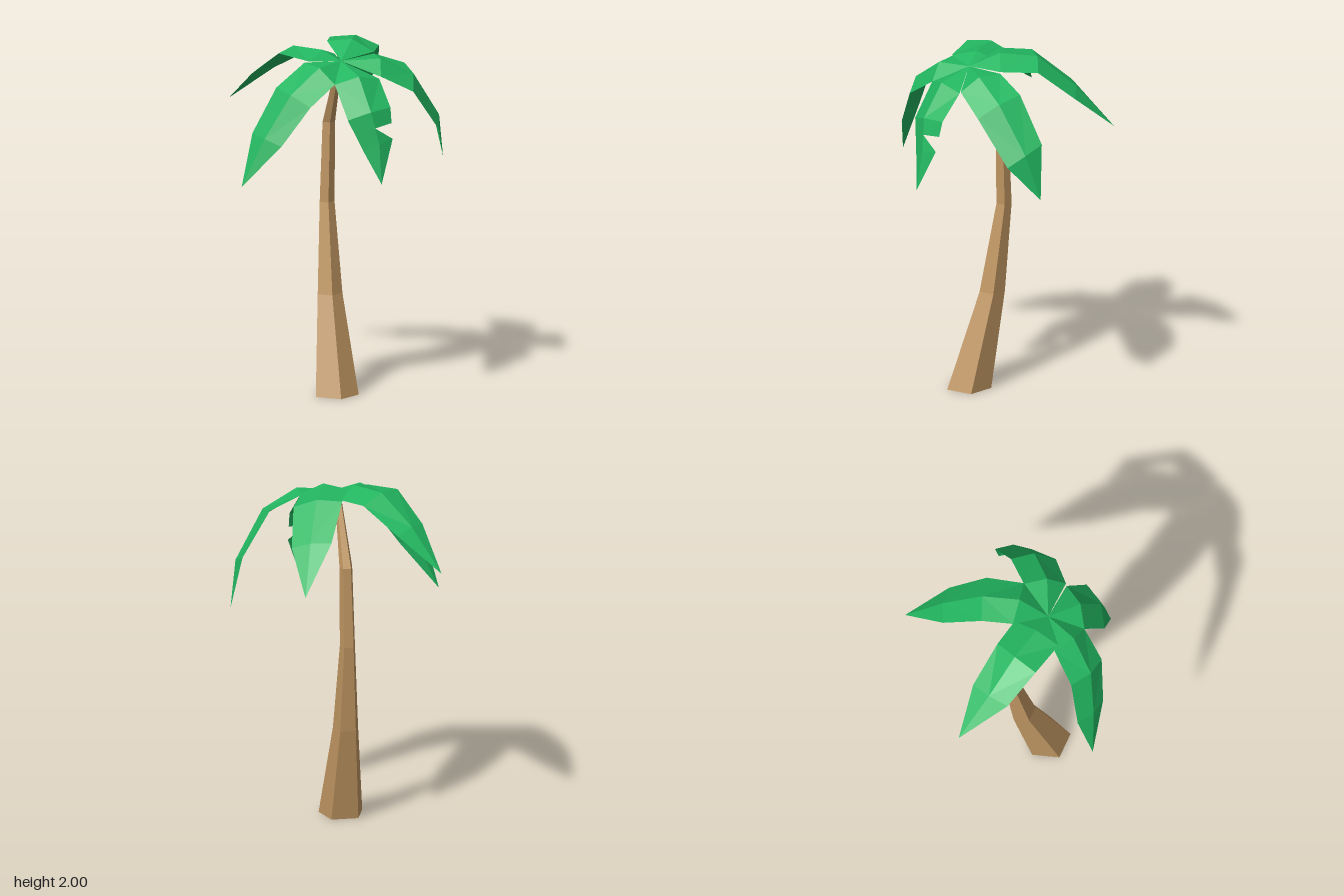
import * as THREE from 'three';

const bark = new THREE.MeshStandardMaterial({ name: 'bark brown', color: 0xc09662, side: THREE.DoubleSide });
const green = new THREE.MeshStandardMaterial({ name: 'leaf green', color: 0x22b660, side: THREE.DoubleSide });

// Curved five-sided trunk, open below: a tube whose rings are moved and scaled
function createTrunk() {
  // centre x, y, z and radius of each ring, from the ground up
  const rings = [
    [0.02, 0, 0.235, 0.13],
    [-0.025, 0.55, 0.098, 0.075],
    [-0.044, 1.06, 0.028, 0.045],
    [-0.033, 1.52, 0.04, 0.038],
    [0.035, 1.88, 0.2, 0.018],
  ];
  const geometry = new THREE.CylinderGeometry(1, 1, 1, 5, 4, true, Math.PI / 2);
  const p = geometry.attributes.position;
  for (let i = 0; i < p.count; i++) {
    const [x, y, z, r] = rings[Math.round((p.getY(i) + 0.5) * 4)];
    p.setXYZ(i, x + p.getX(i) * r, y, z + p.getZ(i) * r);
  }
  const flat = geometry.toNonIndexed();
  flat.computeVertexNormals();
  const trunk = new THREE.Mesh(flat, bark);
  trunk.name = 'trunk';
  return trunk;
}

const crown = new THREE.Vector3(0.05, 1.91, 0.235);
const ridgeHeights = [0.045, 0.035, 0.025];

// Leaf from the crown to its tip through three cross-sections; each gives its
// two edge points, and the spine is raised above their middle
function createLeaf({ name, sections, tip, torn }) {
  const end = new THREE.Vector3(...tip);
  const edges = [0, 1].map((k) => [
    crown, ...sections.map((s) => new THREE.Vector3(...s[k])), end,
  ]);
  const middle = edges[0].map((a, i) => a.clone().lerp(edges[1][i], 0.5));
  const spine = middle.map((m, i) => {
    if (i === 0 || i === 4) return m;
    const along = middle[i + 1].clone().sub(middle[i - 1]);
    const across = edges[1][i].clone().sub(edges[0][i]);
    return m.clone().addScaledVector(along.cross(across).normalize(), ridgeHeights[i - 1]);
  });

  const corners = [];
  edges.forEach((e, k) => {
    const tri = (a, b, c) => corners.push(...(k === 1 ? [a, b, c] : [a, c, b]));
    tri(crown, spine[1], e[1]);
    for (let i = 1; i < 3; i++) {
      if (torn && k === 1 && i === 2) {
        // wedge missing from the edge to the spine
        const cm = spine[2].clone().lerp(spine[3], 0.5);
        const em = e[2].clone().lerp(e[3], 0.5);
        tri(spine[2], cm, e[2]);
        tri(e[2], cm, em);
        tri(cm, spine[3], e[3]);
      } else {
        tri(spine[i], spine[i + 1], e[i]);
        tri(e[i], spine[i + 1], e[i + 1]);
      }
    }
    tri(spine[3], end, e[3]);
  });
  const geometry = new THREE.BufferGeometry().setFromPoints(corners);
  geometry.computeVertexNormals();
  const leaf = new THREE.Mesh(geometry, green);
  leaf.name = name;
  return leaf;
}

const leaves = [
  {
    name: 'backLeaf',
    sections: [
      [[0.225, 1.93, 0.08], [-0.04, 1.98, 0.045]],
      [[0.24, 1.92, -0.13], [-0.035, 1.965, -0.13]],
      [[0.22, 1.75, -0.34], [-0.005, 1.79, -0.35]],
    ],
    tip: [0.11, 1.54, -0.575],
  },
  {
    name: 'backRightLeaf',
    sections: [
      [[0, 1.91, 0.05], [-0.12, 1.92, 0.31]],
      [[-0.14, 1.91, -0.03], [-0.3, 1.94, 0.2]],
      [[-0.35, 1.78, -0.145], [-0.46, 1.79, 0.06]],
    ],
    tip: [-0.605, 1.59, -0.2],
  },
  {
    name: 'frontRightLeaf',
    sections: [
      [[-0.15, 1.91, 0.29], [0.03, 1.82, 0.44]],
      [[-0.3, 1.79, 0.4], [-0.1, 1.71, 0.55]],
      [[-0.43, 1.54, 0.45], [-0.26, 1.49, 0.575]],
    ],
    tip: [-0.485, 1.25, 0.54],
  },
  {
    name: 'tornFrontLeaf',
    sections: [
      [[0.03, 1.82, 0.44], [0.27, 1.83, 0.315]],
      [[0.11, 1.64, 0.545], [0.34, 1.69, 0.42]],
      [[0.195, 1.47, 0.55], [0.355, 1.52, 0.46]],
    ],
    tip: [0.3, 1.28, 0.56],
    torn: true,
  },
  {
    name: 'leftLeaf',
    sections: [
      [[0.28, 1.84, 0.31], [0.225, 1.92, 0.08]],
      [[0.455, 1.74, 0.235], [0.39, 1.85, -0.01]],
      [[0.59, 1.49, 0.085], [0.53, 1.6, -0.115]],
    ],
    tip: [0.6, 1.295, -0.1],
  },
];

export function createModel() {
  const model = new THREE.Group();
  model.name = 'palmTree';
  model.add(createTrunk());
  for (const leaf of leaves) model.add(createLeaf(leaf));
  return model;
}
